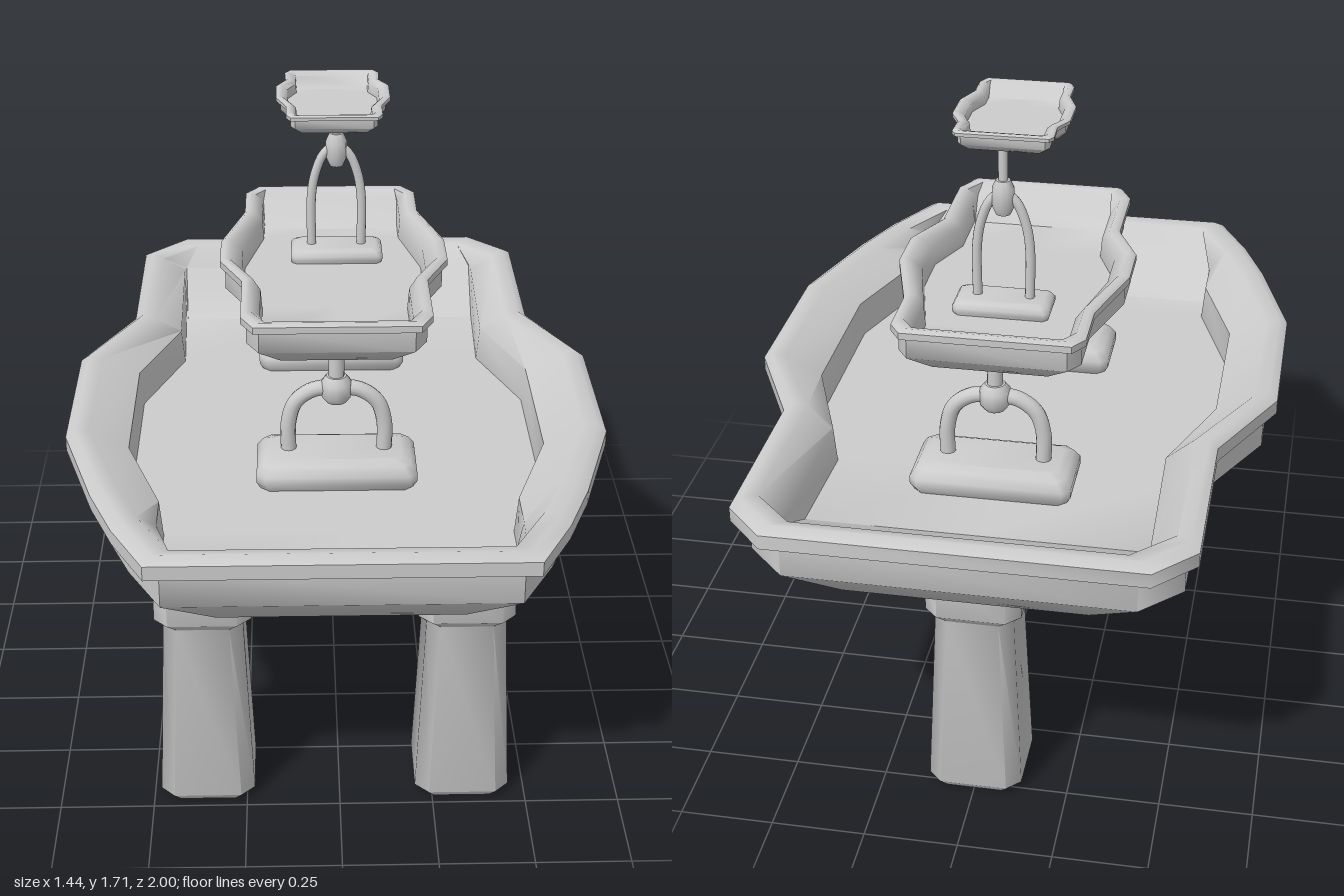
import * as THREE from 'three';
import { toCreasedNormals } from 'three/addons/utils/BufferGeometryUtils.js';

const material = new THREE.MeshStandardMaterial({ color: 0xcccccc });

function add(parent, name, geometry, x = 0, y = 0, z = 0) {
  const mesh = new THREE.Mesh(geometry, material);
  mesh.name = name;
  mesh.position.set(x, y, z);
  parent.add(mesh);
  return mesh;
}

// Half outline (+x side, back to front), pulled in by dx and dz
function inset(half, dx, dz) {
  const z0 = half[0][1], z1 = half[half.length - 1][1];
  const mid = (z0 + z1) / 2, scale = 1 - (2 * dz) / (z1 - z0);
  return half.map(([x, z]) => [x - dx, mid + (z - mid) * scale]);
}

// Closed skin through mirrored half outlines stacked from the underside over to the top
function loft(levels, crease = 0.9) {
  const spine = ([half, y]) => [half.map(([, z]) => [0, z]), y];
  const rings = [spine(levels[0]), ...levels, spine(levels[levels.length - 1])];
  const positions = [], index = [];
  const n = levels[0][0].length * 2;
  rings.forEach(([half, y], r) => {
    const mirrored = half.map(([x, z]) => [-x, z]).reverse();
    for (const [x, z] of [...half, ...mirrored]) positions.push(x, y, z);
    if (r === 0) return;
    for (let i = 0; i < n; i++) {
      const j = (i + 1) % n, a = (r - 1) * n, b = r * n;
      index.push(a + i, b + i, b + j, a + i, b + j, a + j);
    }
  });
  const geometry = new THREE.BufferGeometry();
  geometry.setAttribute('position', new THREE.Float32BufferAttribute(positions, 3));
  geometry.setIndex(index);
  return toCreasedNormals(geometry, crease);
}

// Rectangle with cut corners, as a half outline
const cutRect = (w, d, c) => [[w - c, -d], [w, -d + c], [w, d - c], [w - c, d]];

// Basin: sloped underside, overhanging lip, rolled rim and sunken floor
function tray(parent, name, o) {
  const { outer, inner, y, body, base, lip } = o;
  const [back, front] = o.floorEnds;
  const floor = inner.map(([x, z]) => [x - lip * 0.3, Math.min(front, Math.max(back, z))]);
  const under = inset(outer, body[0], body[1]);
  add(parent, name, loft([
    [inset(outer, base[0], base[1]), y.bottom],
    [under, y.knee],
    [under, y.lip],
    [outer, y.lip],
    [outer, y.top - lip * 0.6],
    [inset(outer, lip * 0.8, lip * 0.8), y.top],
    [inset(outer, lip * 2, lip * 2), y.top - lip * 0.3],
    [inner, y.inner],
    [floor, y.floor],
  ]));
}

// Stand: pillow plate, arched tube, collar and post
function stand(parent, name, o) {
  const group = new THREE.Group();
  group.name = name;
  group.position.set(o.x, 0, o.z);
  parent.add(group);

  const [w, d] = o.plate, h = o.plateTop - o.floor;
  const plan = cutRect(w, d, d * 0.2);
  add(group, 'standPlate', loft([
    [inset(plan, h * 0.2, h * 0.2), o.floor - 0.01],
    [plan, o.floor + h * 0.25],
    [plan, o.floor + h * 0.55],
    [inset(plan, h * 0.2, h * 0.2), o.floor + h * 0.85],
    [inset(plan, h * 0.5, h * 0.5), o.plateTop],
  ], 1.1));

  const half = o.arch;
  const path = [...half, ...half.slice(0, -1).reverse().map(([x, y]) => [-x, y])]
    .map(([x, y]) => new THREE.Vector3(x, y, 0));
  const curve = new THREE.CatmullRomCurve3(path, false, 'centripetal');
  add(group, 'standArch', new THREE.TubeGeometry(curve, 48, o.radius, 12));

  const [k0, k1] = o.collarY, r = o.collarRadius, bevel = (k1 - k0) * 0.25;
  const profile = [[0, k0], [r * 0.65, k0], [r, k0 + bevel], [r, k1 - bevel], [r * 0.65, k1], [0, k1]]
    .map(([px, py]) => new THREE.Vector2(px, py));
  add(group, 'standCollar', toCreasedNormals(new THREE.LatheGeometry(profile, 12), 0.9));

  const length = o.postTop - k0;
  add(group, 'standPost', new THREE.CylinderGeometry(o.radius, o.radius, length, 12), 0, k0 + length / 2, 0);
}

export function createModel() {
  const model = new THREE.Group();
  model.name = 'tieredTrayTable';

  // Three legs: chamfered posts flaring to the foot, with a block at the top
  const section = cutRect(0.126, 0.126, 0.036);
  const legLevels = [[0.016, 0], [0, 0.022], [0.022, 0.54], [0.018, 0.545], [0, 0.565], [0, 0.7]]
    .map(([d, y]) => [inset(section, d, d), y]);
  const legGeometry = loft(legLevels);
  [['frontRightLeg', -0.355, 0.61], ['frontLeftLeg', 0.33, 0.61], ['backLeg', 0, -0.66]]
    .forEach(([name, x, z]) => add(model, name, legGeometry, x, 0, z));

  // Large bottom tray
  tray(model, 'largeTray', {
    outer: [[0.48, -1], [0.585, -0.89], [0.585, -0.4], [0.722, -0.12],
      [0.722, 0.345], [0.63, 0.66], [0.565, 0.83], [0.478, 1]],
    inner: [[0.455, -0.88], [0.46, -0.86], [0.45, -0.4], [0.557, -0.12],
      [0.557, 0.33], [0.46, 0.62], [0.46, 0.74], [0.455, 0.87]],
    y: { bottom: 0.675, knee: 0.765, lip: 0.873, top: 0.93, inner: 0.87, floor: 0.77 },
    body: [0.035, 0.05], base: [0.165, 0.14], lip: 0.03, floorEnds: [-0.7, 0.72],
  });

  // Middle tray
  tray(model, 'middleTray', {
    outer: [[0.22, -0.565], [0.25, -0.52], [0.25, -0.37], [0.313, -0.15],
      [0.313, -0.01], [0.25, 0.13], [0.25, 0.36], [0.217, 0.425]],
    inner: [[0.198, -0.52], [0.2, -0.5], [0.2, -0.36], [0.252, -0.14],
      [0.252, 0], [0.2, 0.13], [0.2, 0.3], [0.198, 0.365]],
    y: { bottom: 1.14, knee: 1.182, lip: 1.246, top: 1.273, inner: 1.24, floor: 1.185 },
    body: [0.014, 0.022], base: [0.07, 0.065], lip: 0.014, floorEnds: [-0.43, 0.3],
  });

  // Small top tray
  tray(model, 'smallTray', {
    outer: [[0.12, -0.312], [0.13, -0.295], [0.128, -0.23], [0.153, -0.18],
      [0.153, -0.08], [0.127, -0.01], [0.127, 0.06], [0.115, 0.085]],
    inner: [[0.1, -0.29], [0.1, -0.28], [0.1, -0.22], [0.123, -0.17],
      [0.123, -0.08], [0.1, -0.02], [0.1, 0.03], [0.1, 0.06]],
    y: { bottom: 1.655, knee: 1.672, lip: 1.698, top: 1.712, inner: 1.7, floor: 1.675 },
    body: [0.012, 0.012], base: [0.03, 0.03], lip: 0.008, floorEnds: [-0.25, 0.03],
  });

  // Two stands carry the middle tray, one carries the small tray
  [['frontStand', 0.3], ['backStand', -0.425]].forEach(([name, z]) => stand(model, name, {
    x: 0, z, floor: 0.77, plate: [0.215, 0.11], plateTop: 0.85,
    arch: [[-0.128, 0.82], [-0.128, 0.93], [-0.108, 0.99], [-0.06, 1.025], [0, 1.03]],
    radius: 0.021, collarY: [0.99, 1.066], collarRadius: 0.042, postTop: 1.16,
  }));
  stand(model, 'topStand', {
    x: 0.012, z: -0.23, floor: 1.185, plate: [0.13, 0.065], plateTop: 1.225,
    arch: [[-0.07, 1.2], [-0.07, 1.37], [-0.058, 1.44], [-0.034, 1.495], [0, 1.52]],
    radius: 0.013, collarY: [1.46, 1.555], collarRadius: 0.03, postTop: 1.665,
  });

  return model;
}
